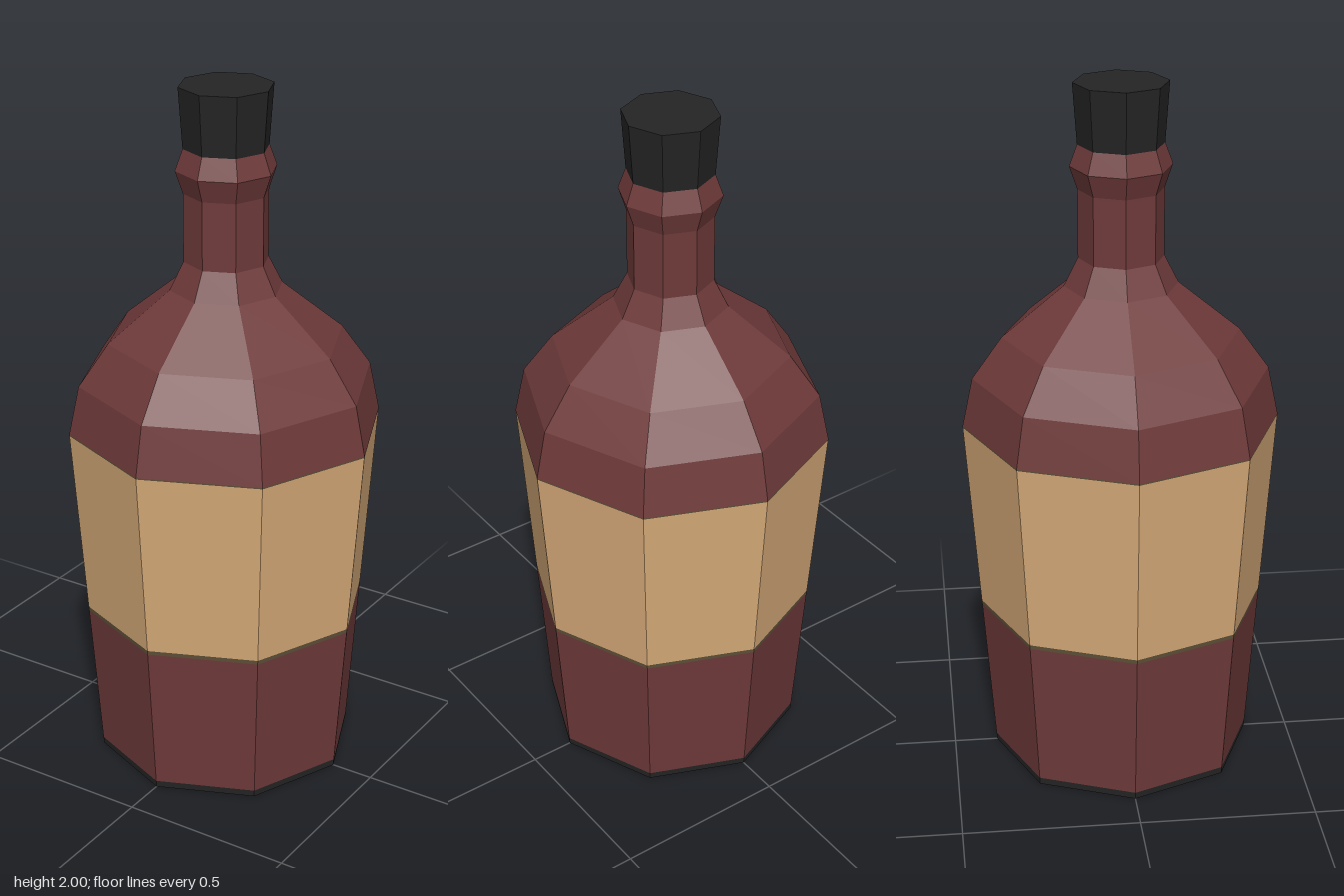
import * as THREE from 'three';

const mat = (name, color) => {
  const m = new THREE.MeshStandardMaterial({ color, flatShading: true });
  m.name = name;
  return m;
};

export function createModel() {
  const wine = mat('wine red glass', 0x6f3a3a);
  const tan = mat('tan label', 0xd6aa78);
  const olive = mat('label edge', 0x5e5038);
  const black = mat('black', 0x242424);

  const bottle = new THREE.Group();
  bottle.name = 'bottle';

  // Eight-sided band turned from [radius, height] pairs, bottom to top
  const band = (name, material, profile) => {
    const points = profile.map(([r, y]) => new THREE.Vector2(r, y));
    const mesh = new THREE.Mesh(new THREE.LatheGeometry(points, 8), material);
    mesh.name = name;
    bottle.add(mesh);
  };

  // Radius of the tapering body at a height
  const body = (y) => [0.375 + (0.45 - 0.375) * (y / 1.02), y];

  band('base', black, [[0, 0], body(0), body(0.02)]);
  band('lowerBody', wine, [body(0.02), body(0.457)]);
  band('labelLowerEdge', olive, [body(0.457), body(0.469)]);
  band('label', tan, [body(0.469), body(1.018)]);
  band('labelUpperEdge', olive, [body(1.018), body(1.022)]);

  // Shoulder, neck and lip ring
  band('shoulderAndNeck', wine, [
    body(1.022), [0.42, 1.165], [0.335, 1.285], [0.16, 1.43],
    [0.12, 1.51], [0.12, 1.705], [0.142, 1.77], [0.12, 1.83],
  ]);

  band('stopper', black, [[0.12, 1.83], [0.132, 2], [0, 2]]);
  return bottle;
}
